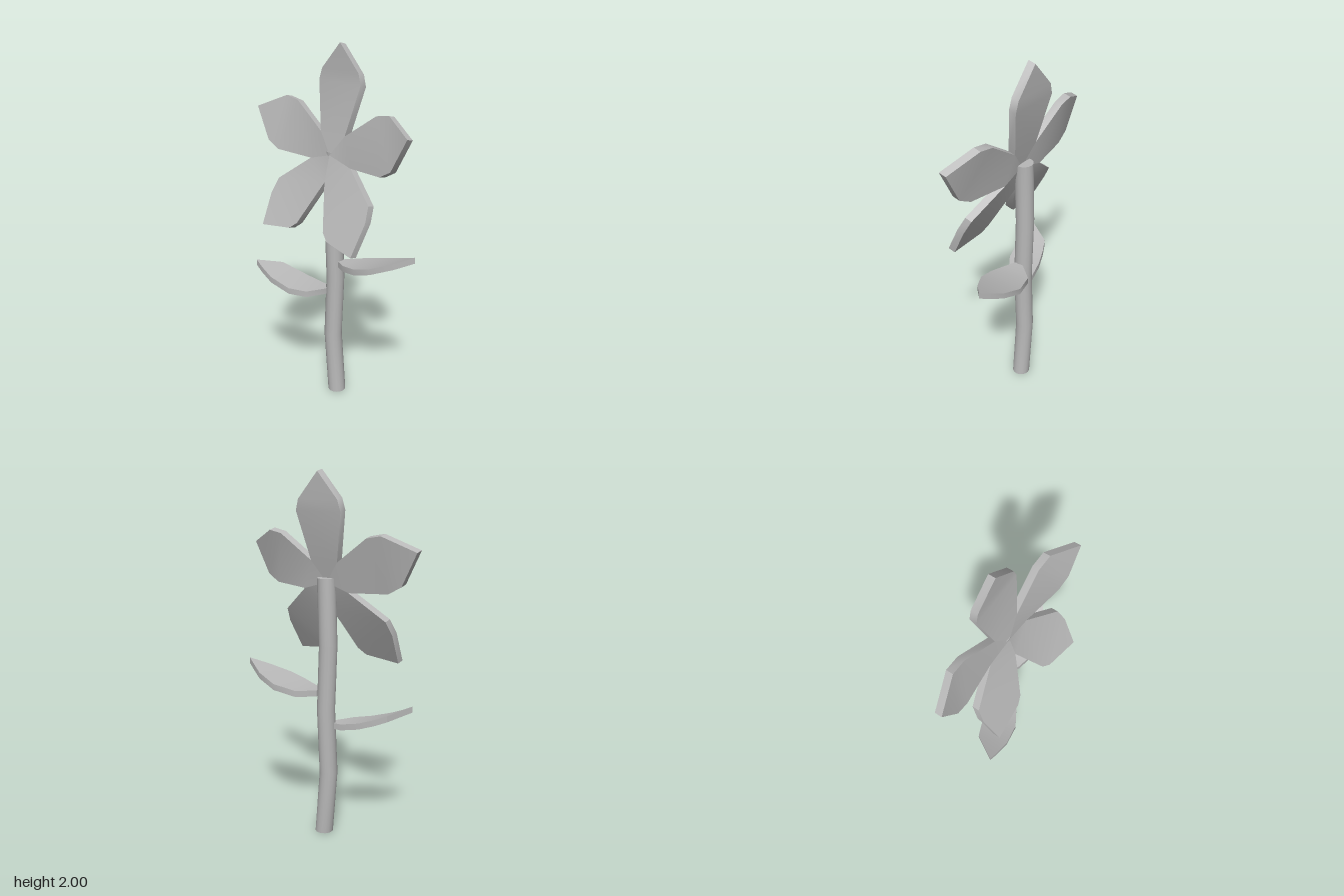
import * as THREE from 'three';
import { toCreasedNormals } from 'three/addons/utils/BufferGeometryUtils.js';

// Thick plate from rows of [left, right] points; the back is the front shifted by offset.
function slab(rows, offset) {
  const pos = [];
  const back = (p) => p.map((v, i) => v + offset[i]);
  const same = (a, b) => a.every((v, i) => Math.abs(v - b[i]) < 1e-6);
  const tri = (a, b, c) => {
    if (!same(a, b) && !same(b, c) && !same(a, c)) pos.push(...a, ...b, ...c);
  };
  const quad = (a, b, c, d) => { tri(a, b, c); tri(a, c, d); };
  const cap = (l, r) => quad(l, back(l), back(r), r);
  for (let i = 0; i < rows.length - 1; i++) {
    const [l, r] = rows[i], [l2, r2] = rows[i + 1];
    quad(l, r, r2, l2);
    quad(back(l), back(l2), back(r2), back(r));
    if (i === 0 && same(l, r)) continue; // no walls inside the blossom
    quad(r, back(r), back(r2), r2);
    quad(l2, back(l2), back(l), l);
  }
  cap(...rows[0]);
  cap(...rows[rows.length - 1].slice().reverse());
  const geo = new THREE.BufferGeometry();
  geo.setAttribute('position', new THREE.Float32BufferAttribute(pos, 3));
  return toCreasedNormals(geo, 0.6);
}

export function createModel() {
  const group = new THREE.Group();
  const grey = new THREE.MeshStandardMaterial({ color: 0xb8b8b8 });
  grey.name = 'light grey';
  const add = (name, geo, parent = group) => {
    const mesh = new THREE.Mesh(geo, grey);
    mesh.name = name;
    parent.add(mesh);
  };

  // Stem: a cylinder with gently swaying rings
  const sway = [0.012, -0.02, -0.002, -0.018, -0.005];
  const height = 1.445;
  const stem = new THREE.CylinderGeometry(0.05, 0.05, height, 16, 4);
  stem.translate(0, height / 2, -0.041);
  const p = stem.attributes.position;
  for (let i = 0; i < p.count; i++) {
    p.setX(i, p.getX(i) + sway[Math.round((p.getY(i) / height) * 4)]);
  }
  add('stem', toCreasedNormals(stem, 0.8));

  // Blossom: five petals sharing the centre and the notches between them
  const blossom = new THREE.Group();
  blossom.name = 'blossom';
  group.add(blossom);
  const mirror = ([x, y, z]) => [-x, y, z];
  const mirrorRows = (rows) => rows.map(([l, r]) => [mirror(r), mirror(l)]);
  const centre = [0, 1.43, 0.008];
  const upper = [0.088, 1.542, -0.015], side = [0.148, 1.387, 0.003], lower = [0, 1.29, 0.045];
  const thick = [0, -0.01, -0.04];
  const topPetal = [
    [centre, centre],
    [mirror(upper), upper],
    [[-0.148, 1.8, -0.064], [0.148, 1.8, -0.064]],
    [[-0.13, 1.86, -0.067], [0.13, 1.86, -0.067]],
    [[0, 2, -0.067], [0, 2, -0.067]],
  ];
  const sidePetal = [
    [centre, centre],
    [upper, side],
    [[0.285, 1.675, -0.033], [0.375, 1.398, 0.036]],
    [[0.37, 1.69, -0.03], [0.45, 1.44, 0.042]],
    [[0.542, 1.615, 0.035], [0.542, 1.615, 0.035]],
  ];
  const lowPetal = [
    [centre, centre],
    [side, lower],
    [[0.338, 1.247, 0.07], [0.1, 1.065, 0.16].map((v, i) => (i === 2 ? 0.155 : v))],
    [[0.355, 1.17, 0.11], [0.143, 1.03, 0.172]],
    [[0.338, 1.005, 0.196], [0.338, 1.005, 0.196]],
  ];
  add('topPetal', slab(topPetal, thick), blossom);
  add('leftUpperPetal', slab(sidePetal, thick), blossom);
  add('rightUpperPetal', slab(mirrorRows(sidePetal), thick), blossom);
  add('leftLowerPetal', slab(lowPetal, thick), blossom);
  add('rightLowerPetal', slab(mirrorRows(lowPetal), thick), blossom);

  // Leaves: plan outlines [x, z] whose height curls up along the length
  const leaf = (pairs, base, curl) => slab(
    pairs.map((pair) => pair.map(([x, z]) => [x, base + curl * Math.max(0, Math.abs(x) - 0.08) ** 1.6, z])),
    [0, -0.034, 0],
  );
  add('leftLeaf', leaf([
    [[0.04, -0.07], [0.04, -0.02]],
    [[0.115, -0.16], [0.1, 0.005]],
    [[0.24, -0.2], [0.2, 0.025]],
    [[0.36, -0.185], [0.3, 0.012]],
    [[0.43, -0.155], [0.41, -0.055]],
    [[0.488, -0.13], [0.488, -0.13]],
  ], 0.828, 0.54));
  add('rightLeaf', leaf([
    [[-0.03, 0.012], [-0.03, -0.04]],
    [[-0.075, 0.115], [-0.1, -0.035]],
    [[-0.16, 0.172], [-0.2, -0.012]],
    [[-0.28, 0.197], [-0.28, 0.018]],
    [[-0.36, 0.193], [-0.345, 0.05]],
    [[-0.416, 0.186], [-0.416, 0.186]],
  ], 0.652, 0.64));

  return group;
}
